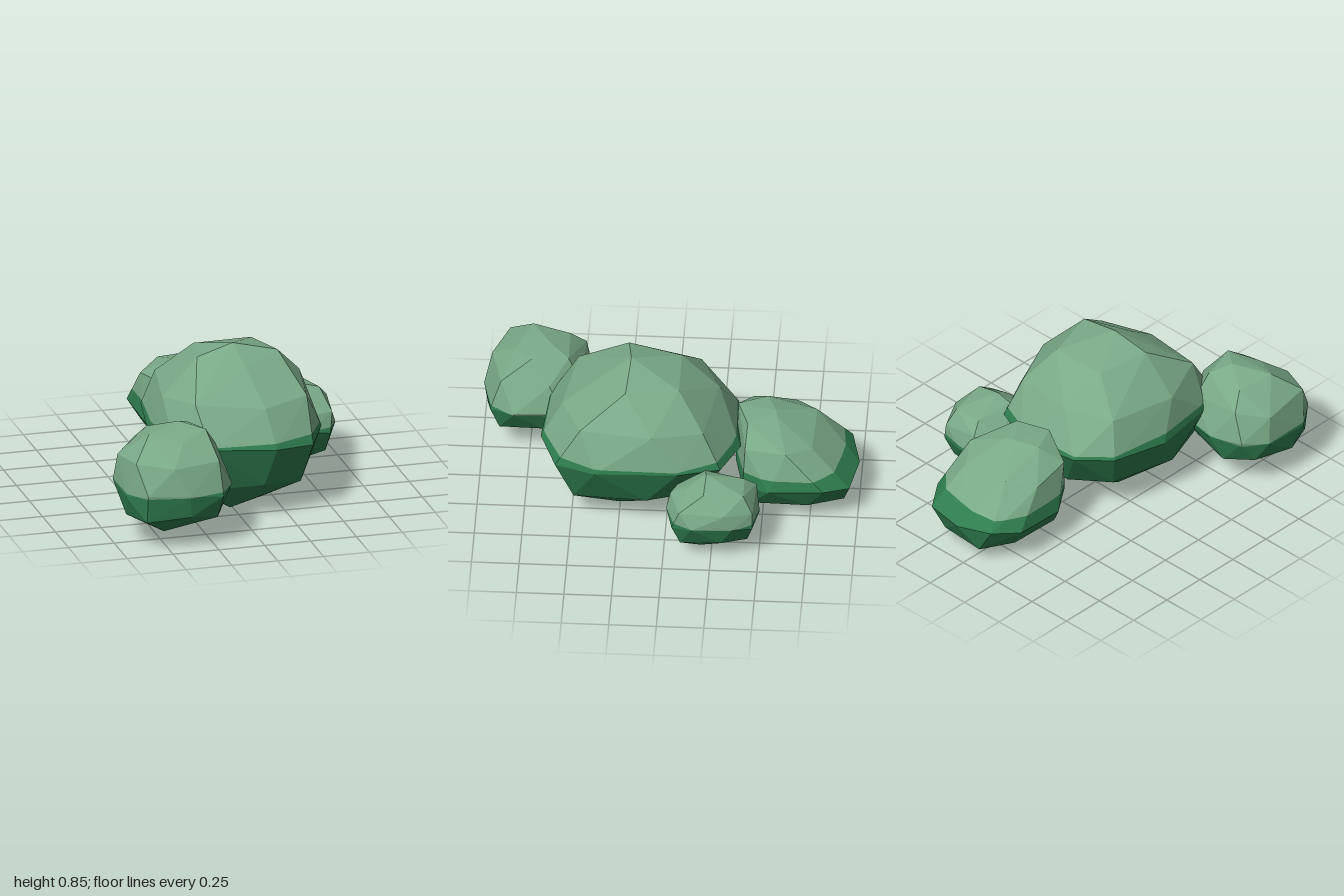
import * as THREE from 'three';
import { ConvexGeometry } from 'three/addons/geometries/ConvexGeometry.js';

const lightLeaf = new THREE.MeshStandardMaterial({ name: 'lightLeaf', color: 0x7aaa88, flatShading: true });
const darkLeaf = new THREE.MeshStandardMaterial({ name: 'darkLeaf', color: 0x2f7d4f, flatShading: true });

// Corners of one level of a bush: a rounded-square ring fitted to its x and z limits
function ringPoints([y, x0, x1, z0, z1, count], level) {
  const soften = (v) => Math.sign(v) * Math.abs(v) ** 0.7;
  const ring = [];
  for (let j = 0; j < count; j++) {
    const a = ((j + level / 2) / count) * Math.PI * 2 + 0.3;
    const wobble = count > 4 ? 0.02 * Math.sin(3 * a + level) : 0;
    ring.push(new THREE.Vector3(soften(Math.cos(a)), y + wobble, soften(Math.sin(a))));
  }
  const box = new THREE.Box3().setFromPoints(ring);
  for (const p of ring) {
    p.x = THREE.MathUtils.mapLinear(p.x, box.min.x, box.max.x, x0, x1);
    p.z = THREE.MathUtils.mapLinear(p.z, box.min.z, box.max.z, z0, z1);
  }
  return ring;
}

// Keeps the part of a hull above (side = 1) or below (side = -1) a level
function sliceHull(hull, level, side) {
  const pos = hull.attributes.position;
  const out = [];
  for (let i = 0; i < pos.count; i += 3) {
    const tri = [0, 1, 2].map((k) => new THREE.Vector3().fromBufferAttribute(pos, i + k));
    const poly = [];
    tri.forEach((a, k) => {
      const b = tri[(k + 1) % 3];
      const da = (a.y - level) * side;
      const db = (b.y - level) * side;
      if (da >= 0) poly.push(a);
      if (da * db < 0) poly.push(a.clone().lerp(b, da / (da - db)));
    });
    for (let k = 1; k + 1 < poly.length; k++) out.push(poly[0], poly[k], poly[k + 1]);
  }
  const geometry = new THREE.BufferGeometry().setFromPoints(out);
  geometry.computeVertexNormals();
  return geometry;
}

// A faceted bush with a tip, rings [y, x min, x max, z min, z max, corners] and a colour change at height split
function makeBush(name, split, tip, rings) {
  const hull = new ConvexGeometry([new THREE.Vector3(...tip), ...rings.flatMap(ringPoints)]);
  const crown = new THREE.Mesh(sliceHull(hull, split, 1), lightLeaf);
  crown.name = 'crown';
  const skirt = new THREE.Mesh(sliceHull(hull, split, -1), darkLeaf);
  skirt.name = 'skirt';
  const bush = new THREE.Group();
  bush.name = name;
  bush.add(crown, skirt);
  return bush;
}

export function createModel() {
  const model = new THREE.Group();
  model.name = 'bushCluster';
  model.add(
    // Large central bush
    makeBush('mainBush', 0.43, [0.05, 0.85, 0.2], [
      [0.78, -0.15, 0.29, -0.06, 0.34, 5],
      [0.61, -0.34, 0.45, -0.26, 0.56, 8],
      [0.4, -0.39, 0.49, -0.38, 0.67, 11],
      [0.17, -0.31, 0.4, -0.24, 0.6, 8],
      [0, -0.09, 0.18, -0.04, 0.38, 4],
    ]),
    // Medium bush at the front
    makeBush('frontBush', 0.3, [-0.37, 0.61, 0.65], [
      [0.57, -0.56, -0.25, 0.55, 0.83, 5],
      [0.46, -0.69, -0.17, 0.47, 0.96, 7],
      [0.3, -0.71, -0.13, 0.41, 1, 10],
      [0.17, -0.69, -0.19, 0.46, 0.98, 8],
      [0.07, -0.55, -0.38, 0.63, 0.83, 4],
    ]),
    // Small bush at the side
    makeBush('sideBush', 0.23, [0.5, 0.44, -0.22], [
      [0.39, 0.42, 0.64, -0.42, -0.12, 5],
      [0.31, 0.33, 0.71, -0.48, -0.03, 7],
      [0.22, 0.31, 0.71, -0.5, -0.01, 10],
      [0.11, 0.34, 0.67, -0.45, -0.04, 7],
      [0.03, 0.45, 0.57, -0.33, -0.14, 4],
    ]),
    // Wedge-shaped bush at the back
    makeBush('backBush', 0.29, [0.05, 0.54, -0.56], [
      [0.53, -0.08, 0.17, -0.57, -0.36, 4],
      [0.43, -0.21, 0.31, -0.77, -0.36, 7],
      [0.22, -0.24, 0.36, -1, -0.35, 10],
      [0.09, -0.17, 0.29, -0.94, -0.37, 7],
      [0.04, -0.06, 0.18, -0.75, -0.48, 4],
    ]),
  );
  return model;
}
